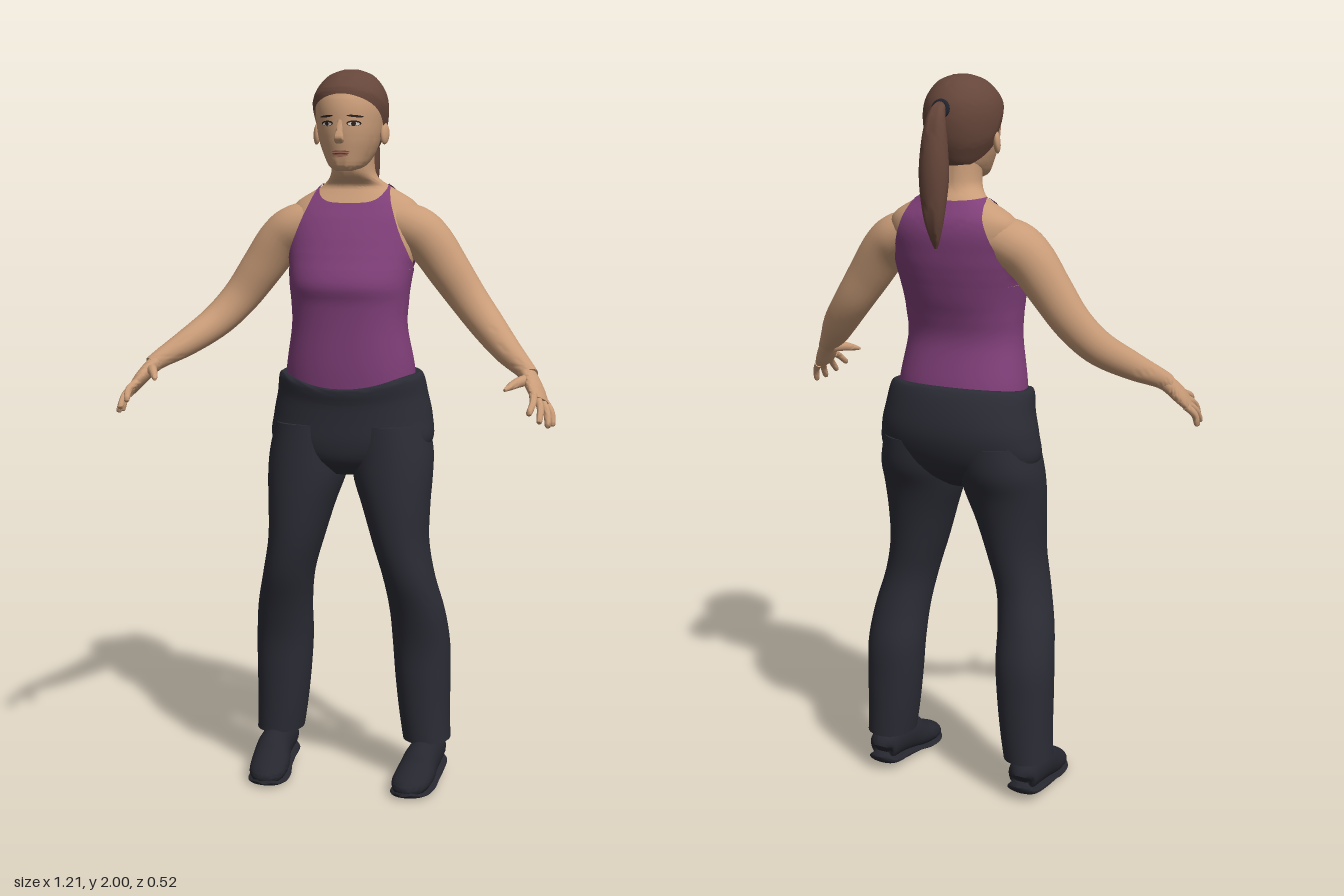
import * as THREE from 'three';
import { mergeVertices, toCreasedNormals } from 'three/addons/utils/BufferGeometryUtils.js';

const V = (x, y, z) => new THREE.Vector3(x, y, z);
const clamp = THREE.MathUtils.clamp, lerp = THREE.MathUtils.lerp;

function material(name, color, side = THREE.FrontSide) {
  const m = new THREE.MeshStandardMaterial({ color, side });
  m.name = name;
  return m;
}

// smooth interpolation between rows of numbers, by index or by the height in column 0
function atIndex(keys, f) {
  const n = keys.length, i = clamp(Math.floor(f), 0, n - 2), k = f - i;
  const [a, b, c, d] = [i - 1, i, i + 1, i + 2].map(j => keys[clamp(j, 0, n - 1)]);
  return b.map((p, q) => {
    const m0 = (c[q] - a[q]) / 2, m1 = (d[q] - p) / 2, e = c[q] - p;
    return p + k * (m0 + k * (3 * e - 2 * m0 - m1 + k * (m0 + m1 - 2 * e)));
  });
}
function atHeight(keys, y) {
  let i = 0;
  while (i < keys.length - 2 && y > keys[i + 1][0]) i++;
  return atIndex(keys, i + clamp((y - keys[i][0]) / (keys[i + 1][0] - keys[i][0]), 0, 1));
}

// surface from a rule (u, v) -> point; side -1 mirrors it in x
function grid(nu, nv, fn, side = 1) {
  const pos = [], idx = [];
  for (let j = 0; j <= nv; j++) for (let i = 0; i <= nu; i++) {
    const p = fn(i / nu, j / nv, j);
    pos.push(p.x * side, p.y, p.z);
  }
  for (let j = 0; j < nv; j++) for (let i = 0; i < nu; i++) {
    const a = j * (nu + 1) + i, b = a + 1, c = a + nu + 1, d = c + 1;
    if (side > 0) idx.push(a, b, c, b, d, c);
    else idx.push(a, c, b, b, c, d);
  }
  const g = new THREE.BufferGeometry();
  g.setAttribute('position', new THREE.Float32BufferAttribute(pos, 3));
  g.setIndex(idx);
  return toCreasedNormals(mergeVertices(g, 1e-5), 1.1);
}

// point on a level section [y, halfWidth, zFront, zBack], grown by off
const pw = (c, e) => Math.sign(c) * Math.abs(c) ** e;
function ring([y, rx, zf, zb], ang, off = 0, e = 1, cx = 0) {
  return V(cx + (rx + off) * pw(Math.cos(ang), e), y, (zf + zb) / 2 + ((zf - zb) / 2 + off) * pw(Math.sin(ang), e));
}
// capped upright loft; warp may adjust each point
function loft(keys, { e = 1, nv = 40, side = 1, warp = p => p } = {}) {
  return grid(40, nv, (u, v, j) => {
    const k = atIndex(keys, clamp((j - 1) / (nv - 2), 0, 1) * (keys.length - 1));
    const cx = k[4] || 0, ang = -u * Math.PI * 2;
    const p = warp(ring(k, ang, 0, e, cx), Math.sin(ang));
    if (j === 0 || j === nv) { p.x = cx; p.z = (k[2] + k[3]) / 2; }
    return p;
  }, side);
}
// capped sweep along [x, y, z, r1, r2]; r1 lies along the axis
function sweep(keys, axis, side = 1, nu = 16, nv = 24) {
  return grid(nu, nv, (u, v, j) => {
    const f = clamp((j - 1) / (nv - 2), 0, 1) * (keys.length - 1);
    const k = atIndex(keys, f), c = V(k[0], k[1], k[2]);
    if (j === 0 || j === nv) return c;
    const p = atIndex(keys, Math.max(0, f - 0.1)), q = atIndex(keys, Math.min(keys.length - 1, f + 0.1));
    const t = V(q[0] - p[0], q[1] - p[1], q[2] - p[2]).normalize();
    const n = axis.clone().addScaledVector(t, -axis.dot(t)).normalize();
    const b = t.clone().cross(n), a = u * Math.PI * 2;
    return c.addScaledVector(n, k[3] * Math.cos(a)).addScaledVector(b, k[4] * Math.sin(a));
  }, side);
}

const TORSO = [[1.08, .175, .055, -.175], [1.18, .175, .062, -.17], [1.3, .156, .064, -.145], [1.37, .158, .068, -.155],
  [1.42, .163, .077, -.17], [1.5, .174, .045, -.188], [1.55, .18, .022, -.195], [1.6, .185, -.004, -.198],
  [1.64, .17, -.03, -.19], [1.675, .115, -.052, -.17], [1.69, .09, -.055, -.16], [1.72, .062, -.022, -.142], [1.79, .058, -.01, -.135]];
const HEAD = [[1.727, .022, .045, 0], [1.74, .048, .055, -.08], [1.77, .067, .061, -.13], [1.81, .082, .067, -.148],
  [1.85, .09, .069, -.16], [1.9, .093, .066, -.163], [1.94, .083, .048, -.152], [1.975, .052, .002, -.118], [1.99, .012, -.045, -.075]];

export function createModel() {
  const skin = material('skin', 0xc99c78);
  const top = material('purple top', 0x803f79, THREE.DoubleSide);
  const trousers = material('charcoal trousers', 0x2b2c35);
  const shoe = material('dark shoes', 0x26272f);
  const hair = material('brown hair', 0x66463a, THREE.DoubleSide);
  const dark = material('dark brown', 0x2c201d);
  const white = material('eye white', 0xd9cdc4);
  const lip = material('lips', 0xa8705c);
  const tieMat = material('hair tie', 0x22242e);

  const model = new THREE.Group();
  const add = (name, geo, mat) => {
    const m = new THREE.Mesh(geo, mat);
    m.name = name;
    model.add(m);
    return m;
  };

  // chest, shoulders and neck
  add('upperBody', grid(48, 40, (u, v) => ring(atHeight(TORSO, lerp(1.4, 1.78, v)), -u * Math.PI * 2, 0, .9)), skin);

  // sleeveless top: waist part, then front and back panels narrowing to the neck
  add('topWaist', grid(48, 24, (u, v) => ring(atHeight(TORSO, lerp(1.1, 1.46, v)), -u * Math.PI * 2, .007, .9)), top);
  const panelWidth = [[1.46, .178], [1.5, .17], [1.55, .15], [1.6, .131], [1.65, .113], [1.7, .1]];
  for (const face of [1, -1]) {
    add(face > 0 ? 'topFront' : 'topBack', grid(32, 24, (u, v) => {
      const s = (u * 2 - 1) * face;
      const y = lerp(1.46, face > 0 ? 1.64 + .052 * s ** 4 : 1.685 + .007 * s * s, v);
      const [, rx, zf, zb] = atHeight(TORSO, y), w = rx + .007;
      const x = s * Math.min(w, lerp(w, atHeight(panelWidth, y)[1], clamp((y - 1.46) / .03, 0, 1)));
      const n = 2 / .9, depth = Math.max(0, 1 - Math.abs(x / w) ** n) ** (1 / n);
      return V(x, y, (zf + zb) / 2 + face * ((zf - zb) / 2 + .007) * depth);
    }), top);
  }

  // trousers: hips with a dipping waistband, then two legs
  const hips = [[.89, .05, .02, -.1], [.93, .17, .055, -.16], [.98, .229, .066, -.198], [1.05, .227, .064, -.219],
    [1.11, .215, .064, -.212], [1.168, .203, .07, -.188], [1.17, .175, .05, -.165]];
  add('hips', loft(hips, { e: .92, warp: (p, s) => {
    const k = clamp((p.y - 1.05) / .1, 0, 1);
    p.y += k * (s > 0 ? -.038 * s ** 3 : -.015 * s);
    return p;
  } }), trousers);
  const leg = [[1.03, .105, .06, -.2, .112], [.95, .114, .068, -.192, .119], [.88, .11, .074, -.163, .125], [.8, .094, .078, -.143, .137],
    [.7, .078, .076, -.128, .152], [.6, .072, .062, -.122, .175], [.5, .077, .03, -.14, .194], [.4, .081, .006, -.162, .202],
    [.3, .078, .001, -.165, .206], [.2, .072, -.002, -.165, .211], [.12, .067, -.004, -.163, .218]].reverse();

  // shoe sections along z: centre height, half width, half height
  const foot = [[.222, .075, -.148, .022, .022], [.222, .08, -.135, .042, .046], [.222, .078, -.07, .046, .053],
    [.218, .07, -.005, .05, .056], [.213, .05, .04, .055, .043], [.207, .037, .09, .053, .032],
    [.203, .03, .125, .038, .023], [.201, .028, .143, .016, .012]];
  const sole = foot.map(([x, y, z, w, h]) => [x, y - h + (z < -.03 ? .004 : .008), z, w + .004, z < -.03 ? .014 : .009]);

  const arm = [[.1, 1.59, -.1, .07, .058], [.17, 1.567, -.095, .074, .067], [.217, 1.53, -.092, .065, .065],
    [.27, 1.457, -.088, .054, .06], [.33, 1.375, -.08, .047, .053], [.39, 1.307, -.045, .046, .047],
    [.455, 1.25, .03, .039, .038], [.51, 1.21, .09, .028, .027], [.53, 1.192, .112, .025, .024]];
  const across = V(.04, -.04, -.08).normalize();
  const palm = [[.515, 1.206, .095, .024, .022], [.535, 1.182, .12, .032, .02], [.553, 1.155, .145, .039, .018], [.568, 1.13, .167, .037, .013]];
  const tips = [[.55, 1.108, .258], [.576, 1.085, .242], [.594, 1.07, .208], [.6, 1.068, .165]];

  for (const side of [1, -1]) {
    const label = side > 0 ? 'left' : 'right';
    add(label + 'Leg', loft(leg, { side, e: .95 }), trousers);
    add(label + 'Shoe', sweep(foot, V(1, 0, 0), side, 24, 30), shoe);
    add(label + 'Sole', sweep(sole, V(1, 0, 0), side, 24, 30), shoe);
    add(label + 'Arm', sweep(arm, V(0, 0, 1), side, 24, 44), skin);
    add(label + 'Palm', sweep(palm, across, side, 20), skin);
    // four fingers fanned from the knuckles, and the thumb
    tips.forEach((t, i) => {
      const b = V(.563, 1.138, .16).addScaledVector(across, (i - 1.5) * .02), e = V(...t);
      const m = b.clone().lerp(e, .5).add(V(.006, .006, .002));
      add(label + 'Finger', sweep([[...b, .011, .011], [...m, .0095, .0095], [...e.clone().lerp(m, .15), .008, .008], [...e, .003, .003]], V(1, 0, 0), side, 10, 14), skin);
    });
    add(label + 'Thumb', sweep([[.53, 1.185, .12, .016, .016], [.508, 1.18, .165, .014, .013], [.492, 1.172, .195, .01, .01], [.481, 1.165, .219, .004, .004]],
      V(0, 1, 0), side, 10, 14), skin);
    // ear
    const ear = add(label + 'Ear', new THREE.SphereGeometry(1, 14, 10), skin);
    ear.scale.set(.01, .03, .018);
    ear.position.set(side * .096, 1.828, -.05);
    ear.rotation.set(-.2, side * -.35, 0);
  }

  // head and nose
  add('head', loft(HEAD, { nv: 44 }), skin);
  add('nose', sweep([[0, 1.862, .063, .008, .006], [0, 1.835, .072, .009, .009], [0, 1.814, .077, .014, .012], [0, 1.803, .071, .012, .007]], V(1, 0, 0), 1, 14, 16), skin);

  // thin patches lying on the face
  const patch = (name, x, y, w, h, mat, off, tilt = 0) => {
    const g = new THREE.CircleGeometry(1, 20).scale(w, h, 1).rotateZ(tilt).translate(x, y, 0);
    const p = g.attributes.position;
    for (let i = 0; i < p.count; i++) {
      const [, rx, zf, zb] = atHeight(HEAD, p.getY(i));
      p.setZ(i, (zf + zb) / 2 + (zf - zb) / 2 * Math.sqrt(Math.max(0, 1 - (p.getX(i) / rx) ** 2)) + off);
    }
    g.computeVertexNormals();
    add(name, g, mat);
  };
  for (const s of [1, -1]) {
    patch('eyeLid', s * .037, 1.853, .018, .0075, dark, .002);
    patch('eyeWhite', s * .037, 1.8515, .015, .005, white, .003);
    patch('iris', s * .037, 1.852, .006, .0055, dark, .004);
    patch('eyebrow', s * .04, 1.872, .021, .003, dark, .002, s * -.08);
  }
  patch('upperLip', 0, 1.777, .025, .0045, lip, .003);
  patch('lowerLip', 0, 1.769, .021, .005, lip, .004);
  patch('mouthLine', 0, 1.7735, .023, .001, dark, .006);

  // hair cap pulled back from the hairline to the crown
  add('hair', grid(48, 32, (u, v, j) => {
    const a = -u * Math.PI * 2, s = Math.sin(a);
    const start = s > 0 ? 3.8 + 1.95 * s ** .75 : 3.8 - 2 * (-s) ** .6;
    const k = atIndex(HEAD, lerp(start, 8, Math.min(1, v * 32 / 31)));
    const p = ring(k, a, .004 + .007 * Math.min(1, v * 5));
    p.y += .01 * clamp((p.y - 1.92) / .07, 0, 1);
    return j === 32 ? V(0, 2, -.06) : p;
  }), hair);

  // ponytail with its tie
  add('ponytail', sweep([[0, 1.92, -.16, .016, .016], [0, 1.922, -.19, .018, .018], [0, 1.895, -.212, .027, .022], [0, 1.83, -.221, .036, .032],
    [0, 1.75, -.224, .04, .036], [0, 1.66, -.226, .03, .027], [0, 1.6, -.22, .016, .015], [0, 1.565, -.214, .004, .004]], V(1, 0, 0), 1, 20, 36), hair);
  const tie = add('hairTie', new THREE.TorusGeometry(.019, .007, 10, 24), tieMat);
  tie.position.set(0, 1.921, -.185);
  tie.rotation.x = .2;

  return model;
}
